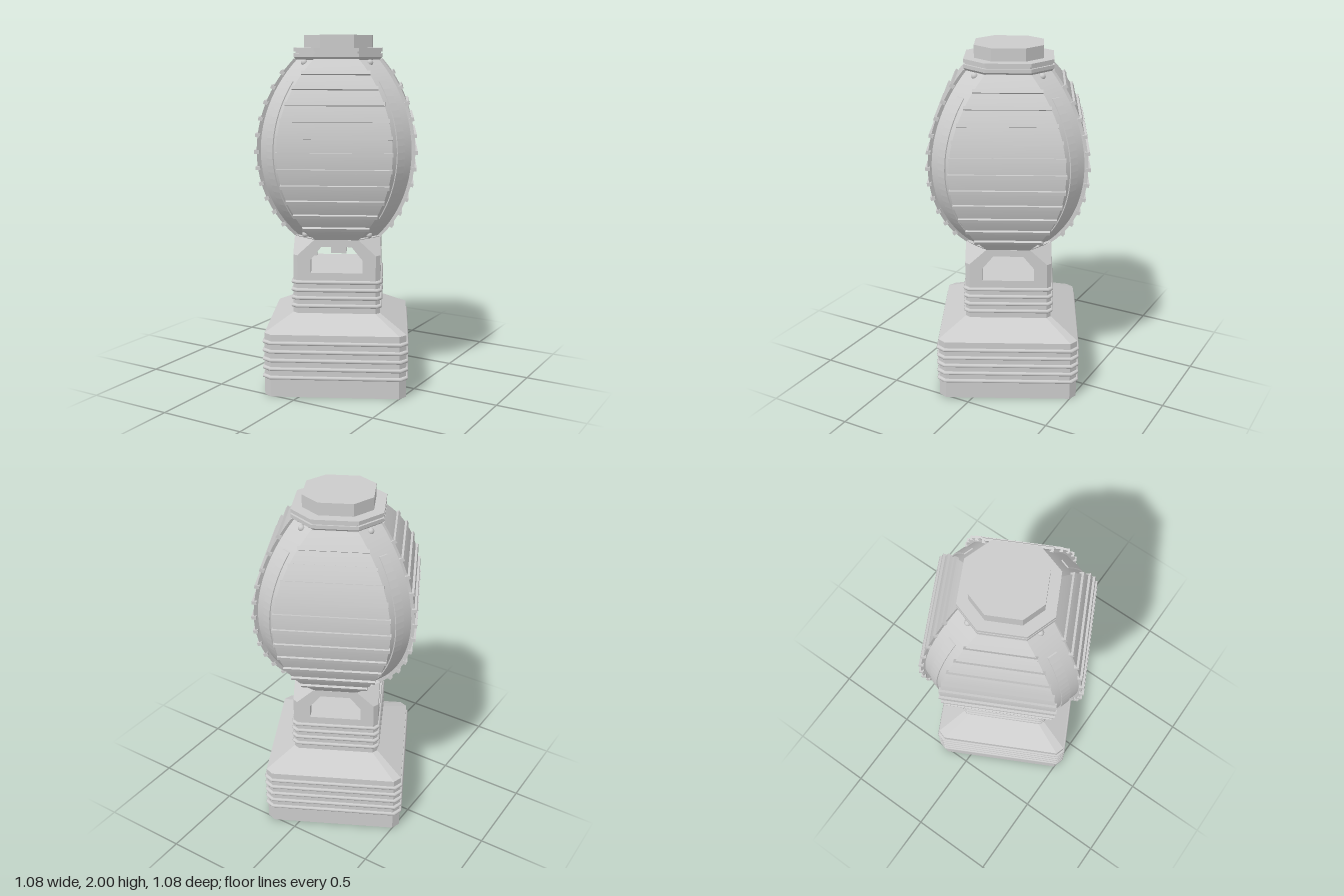
import * as THREE from 'three';

const grey = new THREE.MeshStandardMaterial({ color: 0xcccccc, side: THREE.DoubleSide });

// Chamfered square section (half width h, chamfer leg l); inset > 0 sinks the corner faces.
function section(h, l, inset = 0) {
  const q = inset / Math.SQRT2;
  let side = [[h, h - l], [h, l - h]];
  if (inset) side.push([h - q, l - h + q], [h - l - q, q - h]);
  const points = [];
  for (let k = 0; k < 4; k++) {
    points.push(...side);
    side = side.map(([x, z]) => [z, -x]);
  }
  return points;
}

// Skin through levels [y, h, l, inset]; every side has its own strip so vertical edges stay sharp.
function loft(levels, { smooth = false, caps = false, cornersOnly = false } = {}) {
  const rings = levels.map(([y, h, l, inset]) => section(h, l, inset).map(([x, z]) => [x, y, z]));
  const n = rings[0].length;
  const pos = [], index = [];
  for (let i = 0; i < n; i++) {
    if (cornersOnly && i % 2 === 0) continue;
    const start = pos.length / 3;
    rings.forEach((r) => pos.push(...r[i], ...r[(i + 1) % n]));
    for (let j = 0; j < rings.length - 1; j++) {
      const a = start + j * 2;
      index.push(a, a + 1, a + 3, a, a + 3, a + 2);
    }
  }
  if (caps) {
    [rings[0], rings[rings.length - 1]].forEach((r, top) => {
      const c = pos.length / 3;
      pos.push(0, r[0][1], 0, ...r.flat());
      for (let i = 0; i < n; i++) {
        const a = c + 1 + i, b = c + 1 + ((i + 1) % n);
        index.push(...(top ? [c, a, b] : [c, b, a]));
      }
    });
  }
  let g = new THREE.BufferGeometry();
  g.setAttribute('position', new THREE.Float32BufferAttribute(pos, 3));
  g.setIndex(index);
  if (!smooth) g = g.toNonIndexed();
  g.computeVertexNormals();
  return g;
}

// Round bead running around a tier
function bead(y, h, l, r = 0.011) {
  const levels = [];
  for (let i = 0; i <= 8; i++) {
    const t = -Math.PI / 2 + (i / 8) * Math.PI * 2;
    levels.push([y + r * Math.sin(t), h + r * Math.cos(t), l]);
  }
  return loft(levels, { smooth: true });
}

// Bulge of the lantern: circular arc between y = 0.87 and y = 1.87
const R = 0.762, MID = 1.37, BULGE = 0.432, LEG = 0.122, SINK = 0.028;
const halfAt = (y) => BULGE - R + Math.sqrt(R * R - (y - MID) ** 2);
const ribAt = (y) => (2 * halfAt(y) - LEG) / Math.SQRT2 - SINK;

// Thin raised bar that follows the curve of a corner rib
function ribStrip() {
  const shape = new THREE.Shape();
  const steps = 20, ys = [];
  for (let i = 0; i <= steps; i++) ys.push(1.0 + (0.75 * i) / steps);
  ys.forEach((y, i) => (i ? shape.lineTo(ribAt(y) + 0.007, y) : shape.moveTo(ribAt(y) + 0.007, y)));
  ys.reverse().forEach((y) => shape.lineTo(ribAt(y) - 0.01, y));
  const g = new THREE.ExtrudeGeometry(shape, { depth: 0.055, bevelEnabled: false });
  return g.translate(0, 0, -0.0275);
}

// Neck wall with clipped upper corners and a window
function windowWall() {
  const poly = (pts) => pts.map(([x, y]) => new THREE.Vector2(x, y));
  const shape = new THREE.Shape(poly([[-0.221, 0.66], [0.221, 0.66], [0.221, 0.78], [0.124, 0.87], [-0.124, 0.87], [-0.221, 0.78]]));
  shape.holes.push(new THREE.Path(poly([[-0.146, 0.68], [-0.146, 0.755], [-0.085, 0.83], [0.085, 0.83], [0.146, 0.755], [0.146, 0.68]])));
  return new THREE.ExtrudeGeometry(shape, { depth: 0.05, bevelEnabled: false }).translate(0, 0, 0.196);
}

export function createModel() {
  const root = new THREE.Group();
  root.name = 'lantern';
  const model = new THREE.Group();
  model.name = 'turnedLantern';
  model.rotation.y = THREE.MathUtils.degToRad(27);
  root.add(model);

  const add = (name, geometry, parent = model) => {
    const mesh = new THREE.Mesh(geometry, grey);
    mesh.name = name;
    parent.add(mesh);
    return mesh;
  };

  // Hollow base, sloping shoulder and neck
  add('base', loft([[0, 0.397, 0.039], [0.36, 0.397, 0.039], [0.445, 0.246, 0.025], [0.66, 0.246, 0.025]]));
  for (let i = 0; i < 5; i++) add('baseBead', bead(0.112 + i * 0.05, 0.397, 0.039));
  for (let i = 0; i < 4; i++) add('neckBead', bead(0.487 + i * 0.046, 0.246, 0.025));
  add('neckFloor', loft([[0.655, 0.24, 0.025], [0.68, 0.24, 0.025]], { caps: true }));
  add('neckCorners', loft([[0.66, 0.246, 0.025], [0.78, 0.246, 0.025], [0.87, 0.246, LEG]], { cornersOnly: true }));
  add('neckTop', loft([[0.85, 0.225, LEG], [0.872, 0.244, LEG]], { caps: true }));
  add('hangingBlock', new THREE.BoxGeometry(0.09, 0.11, 0.09)).position.y = 0.805;

  // Bulging body with sunken corner ribs
  const levels = [];
  for (let i = 0; i <= 28; i++) {
    const y = 0.87 + i / 28;
    levels.push([y, halfAt(y), LEG, SINK]);
  }
  add('lanternBody', loft(levels, { smooth: true, caps: true }));

  // Parts repeated on the four sides
  for (let k = 0; k < 4; k++) {
    const side = new THREE.Group();
    side.name = 'side';
    side.rotation.y = (k * Math.PI) / 2;
    model.add(side);
    add('windowWall', windowWall(), side);

    // Slats across the panel, tilted to follow its curve
    for (let i = -5; i <= 5; i++) {
      const a = i * 0.118;
      const y = MID + R * Math.sin(a);
      const slat = add('panelSlat', new THREE.BoxGeometry(2 * (halfAt(y) - LEG) + 0.01, 0.02, 0.026), side);
      slat.position.set(0, y, halfAt(y));
      slat.rotation.x = -a;
    }

    // Corner rib details
    const corner = new THREE.Group();
    corner.name = 'corner';
    corner.rotation.y = Math.PI / 4;
    side.add(corner);
    add('ribStrip', ribStrip(), corner);
    for (const y of [0.89, 1.85]) {
      add('ribStud', new THREE.SphereGeometry(0.018, 12, 8), corner).position.set(ribAt(y), y, 0);
    }
  }

  // Stepped cap and knob
  add('cap', loft([[1.865, 0.232, LEG], [1.88, 0.245, LEG], [1.9, 0.245, LEG], [1.9, 0.236, LEG],
    [1.91, 0.236, LEG], [1.91, 0.245, LEG], [1.93, 0.245, LEG]], { caps: true }));
  add('knob', loft([[1.92, 0.189, 0.096], [2, 0.189, 0.096]], { caps: true }));

  return root;
}
